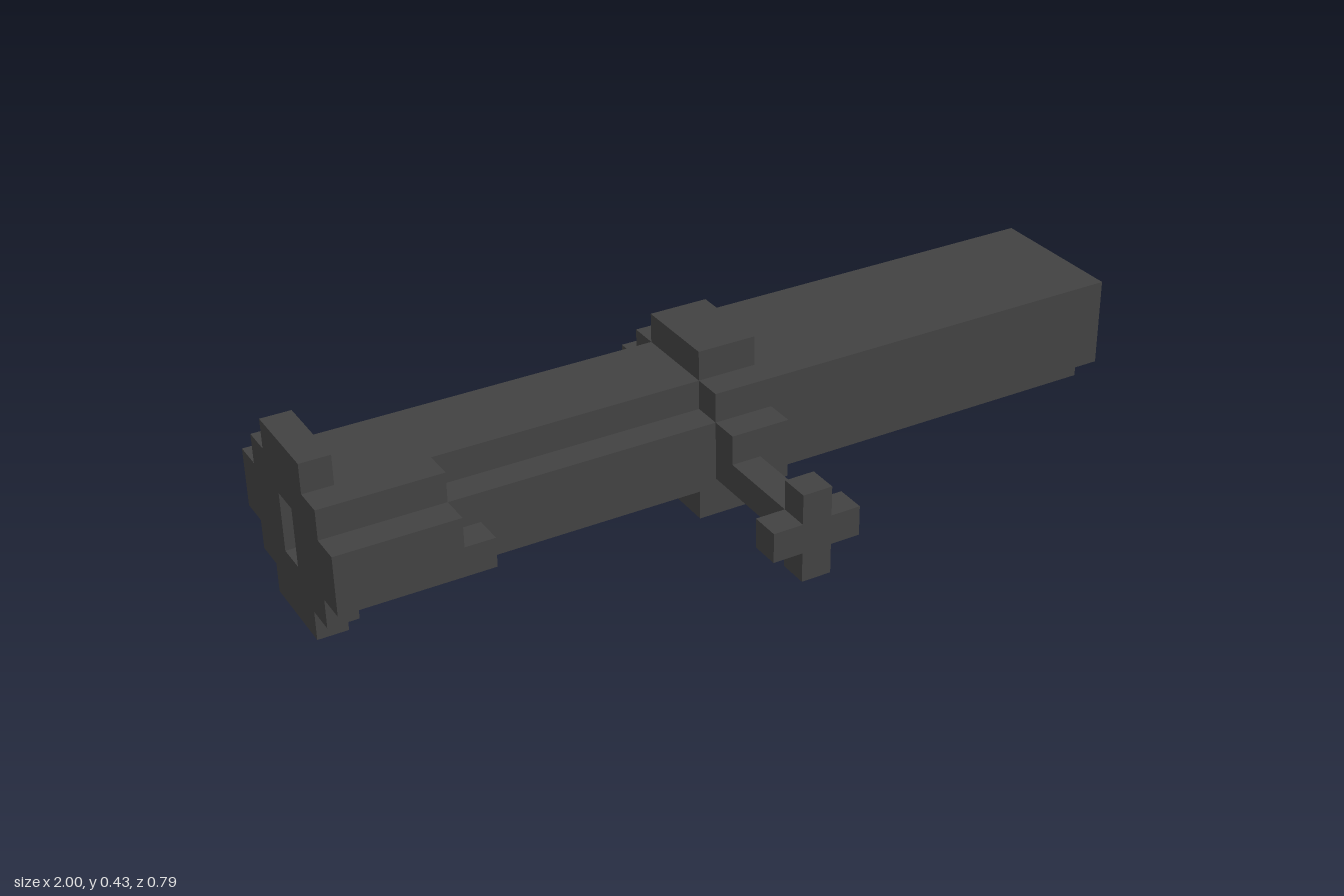
import * as THREE from 'three';

const U = 1 / 14;     // one block
const MID_Z = -2;     // tube axis, in blocks

export function createModel() {
  const group = new THREE.Group();
  group.name = 'blockTube';
  const darkGrey = new THREE.MeshStandardMaterial({ color: 0x424242 });
  darkGrey.name = 'darkGrey';

  const add = (name, geometry) => {
    geometry.scale(U, U, U);
    const mesh = new THREE.Mesh(geometry, darkGrey);
    mesh.name = name;
    group.add(mesh);
  };

  // Box between two corners, measured in blocks
  const box = (name, [x0, x1], [y0, y1], [z0, z1]) => {
    const g = new THREE.BoxGeometry(x1 - x0, y1 - y0, z1 - z0);
    g.translate((x0 + x1) / 2, (y0 + y1) / 2, (z0 + z1) / 2);
    add(name, g);
  };

  // Stepped section, symmetric about the axis, from [halfWidth, y] points; runs from x0 to x1
  const section = (name, half, x0, x1, slot) => {
    const right = half.map(([w, y]) => new THREE.Vector2(w, y));
    const left = half.map(([w, y]) => new THREE.Vector2(-w, y)).reverse();
    const shape = new THREE.Shape([...right, ...left]);
    if (slot) {
      shape.holes.push(new THREE.Path([[-0.5, 2], [-0.5, 4], [0.5, 4], [0.5, 2]]
        .map(([a, b]) => new THREE.Vector2(a, b))));
    }
    const g = new THREE.ExtrudeGeometry(shape, { depth: x1 - x0, bevelEnabled: false });
    g.rotateY(-Math.PI / 2);
    g.translate(x1, 0, MID_Z);
    add(name, g);
  };

  // Barrel
  section('frontBarrel', [[1.5, 1], [1.5, 2], [2.5, 2], [2.5, 5]], -1, 14);
  section('rearBarrel', [[1.5, 1], [1.5, 2], [2.5, 2], [2.5, 4], [1.5, 4], [1.5, 5]], -13, -1);

  // Slotted end flange
  section('endFlange', [[1.5, 0], [1.5, 1], [2.5, 1], [2.5, 2], [3.5, 2],
    [3.5, 4], [2.5, 4], [2.5, 5], [1.5, 5], [1.5, 6]], -14, -13, true);

  // Middle ring lugs
  for (const y of [0, 5]) box('ringLug', [-1, 1], [y, y + 1], [-3.5, -0.5]);
  for (const z of [-5.5, 0.5]) box('ringSideLug', [-1, 1], [2, 4], [z, z + 1]);

  // Side housing near the flange
  box('housing', [-13, -10], [2, 4], [0.5, 1.5]);
  box('housingStep', [-10, -9], [2, 3], [0.5, 1.5]);
  box('housingTop', [-13, -10], [4, 5], [-0.5, 0.5]);

  // Side arm with cross handle
  box('arm', [-1, 0], [2, 3], [1.5, 4.5]);
  box('handleBar', [-1, 0], [1, 4], [4.5, 5.5]);
  for (const x of [-2, 0]) box('handleTip', [x, x + 1], [2, 3], [4.5, 5.5]);

  return group;
}
